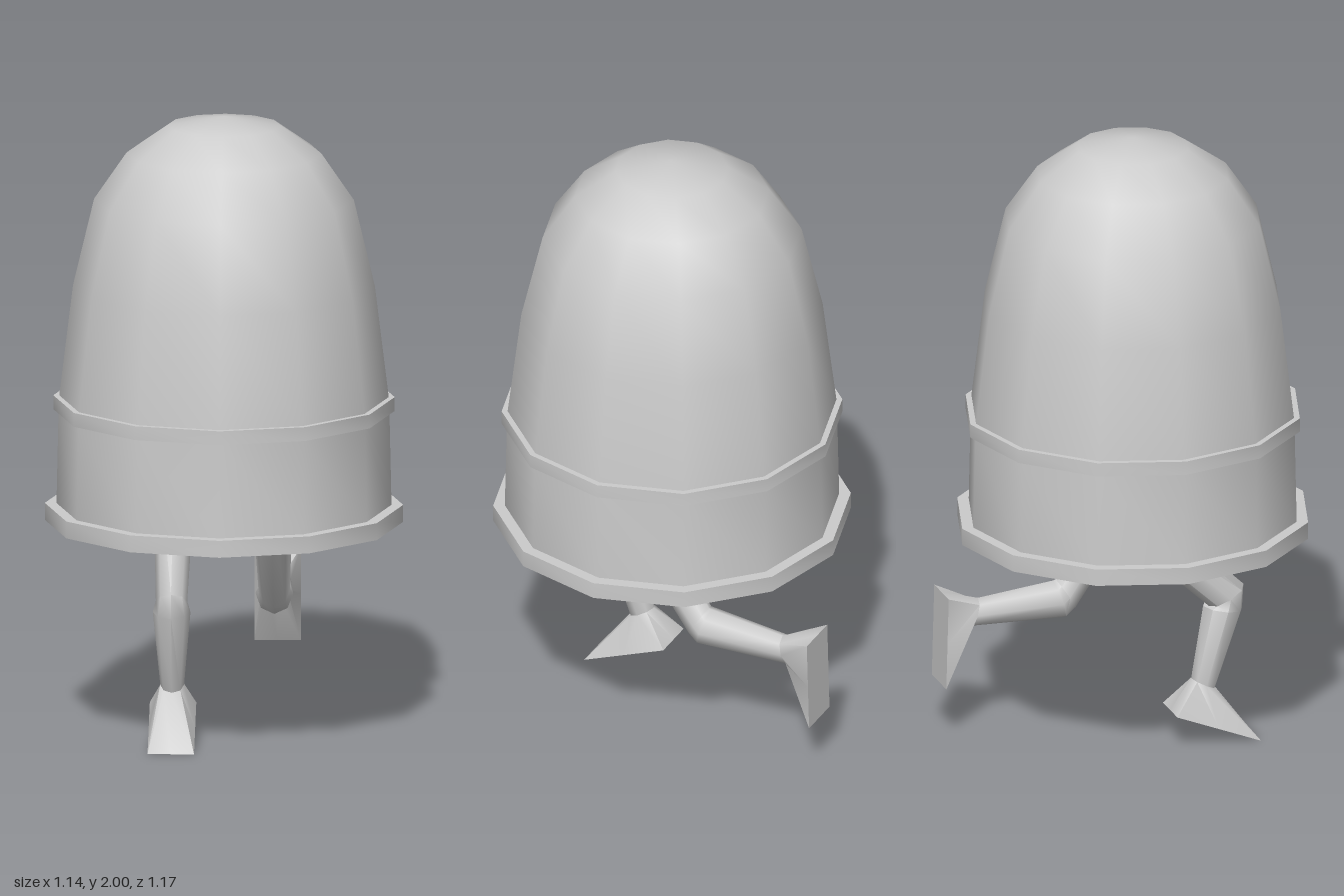
import * as THREE from 'three';
import { toCreasedNormals } from 'three/addons/utils/BufferGeometryUtils.js';

const SIDES = 12;
const BELL_Z = 0.012;

function makeMesh(name, geometry, crease) {
  const material = new THREE.MeshStandardMaterial({ color: 0xcccccc });
  const mesh = new THREE.Mesh(toCreasedNormals(geometry, crease), material);
  mesh.name = name;
  return mesh;
}

// Twelve-sided turned part from [radius, y] points: up the outside, down the inside
function turned(name, points) {
  const profile = points.map(([r, y]) => new THREE.Vector2(r, y));
  return makeMesh(name, new THREE.LatheGeometry(profile, SIDES), 0.75);
}

// Closed rectangular-section ring with optional taper
function ring(name, inner, outerLow, outerHigh, low, high) {
  return turned(name, [[inner, low], [outerLow, low], [outerHigh, high], [inner, high], [inner, low]]);
}

// Loft through sections [frontZ, frontY, backZ, backY, halfWidth, squareness]
function loft(name, x, sections) {
  const n = 8, pos = [], index = [];
  for (const [fz, fy, bz, by, half, square = 0] of sections) {
    for (let k = 0; k < n; k++) {
      const c = Math.cos(k * Math.PI / 4), s = Math.sin(k * Math.PI / 4);
      const grow = THREE.MathUtils.lerp(1, 1 / Math.max(Math.abs(c), Math.abs(s)), square);
      const u = c * grow / 2;
      pos.push(x + half * s * grow, (fy + by) / 2 + (fy - by) * u, (fz + bz) / 2 + (fz - bz) * u);
    }
  }
  const last = (sections.length - 1) * n;
  for (let i = 0; i < last; i += n) {
    for (let k = 0; k < n; k++) {
      const a0 = i + k, a1 = i + (k + 1) % n;
      index.push(a0, a1 + n, a1, a0, a0 + n, a1 + n);
    }
  }
  // End caps
  for (let k = 1; k < n - 1; k++) {
    index.push(0, k, k + 1, last, last + k + 1, last + k);
  }
  const geometry = new THREE.BufferGeometry();
  geometry.setAttribute('position', new THREE.Float32BufferAttribute(pos, 3));
  geometry.setIndex(index);
  return makeMesh(name, geometry, 0.9);
}

function makeLeg(name, x, { hip, knee, shin, ankle, sole }) {
  const leg = new THREE.Group();
  leg.name = name;
  leg.add(loft('bentLeg', x, [hip, knee, shin, ankle]));
  leg.add(loft('foot', x, [ankle, sole]));
  return leg;
}

export function createModel() {
  const model = new THREE.Group();
  model.name = 'runningBell';

  // Hollow bell
  const bell = new THREE.Group();
  bell.name = 'bell';
  bell.position.z = BELL_Z;
  bell.add(turned('dome', [
    [0.47, 1.06], [0.526, 1.06], [0.524, 1.09], [0.48, 1.45], [0.413, 1.73], [0.31, 1.88], [0.18, 1.97], [0, 2],
    [0, 1.95], [0.165, 1.925], [0.28, 1.845], [0.37, 1.71], [0.435, 1.44], [0.47, 1.06],
  ]));
  bell.add(ring('band', 0.47, 0.543, 0.543, 1.045, 1.09));
  bell.add(ring('skirt', 0.497, 0.533, 0.526, 0.73, 1.05));
  bell.add(ring('rim', 0.497, 0.57, 0.57, 0.685, 0.74));
  model.add(bell);

  // Leading leg, knee raised forward
  model.add(makeLeg('rightLeg', -0.16, {
    hip: [-0.015, 0.838, -0.105, 0.742, 0.066],
    knee: [0.33, 0.51, 0.215, 0.447, 0.05],
    shin: [0.325, 0.43, 0.195, 0.45, 0.06],
    ankle: [0.235, 0.172, 0.155, 0.21, 0.038],
    sole: [0.365, 0, 0.085, 0.11, 0.074, 1],
  }));

  // Trailing leg, shin kicked back
  model.add(makeLeg('leftLeg', 0.155, {
    hip: [0.125, 0.755, 0.015, 0.825, 0.066],
    knee: [-0.13, 0.373, -0.195, 0.475, 0.05],
    shin: [-0.168, 0.345, -0.205, 0.472, 0.06],
    ankle: [-0.485, 0.35, -0.455, 0.442, 0.045],
    sole: [-0.585, 0.172, -0.577, 0.475, 0.074, 1],
  }));

  return model;
}
